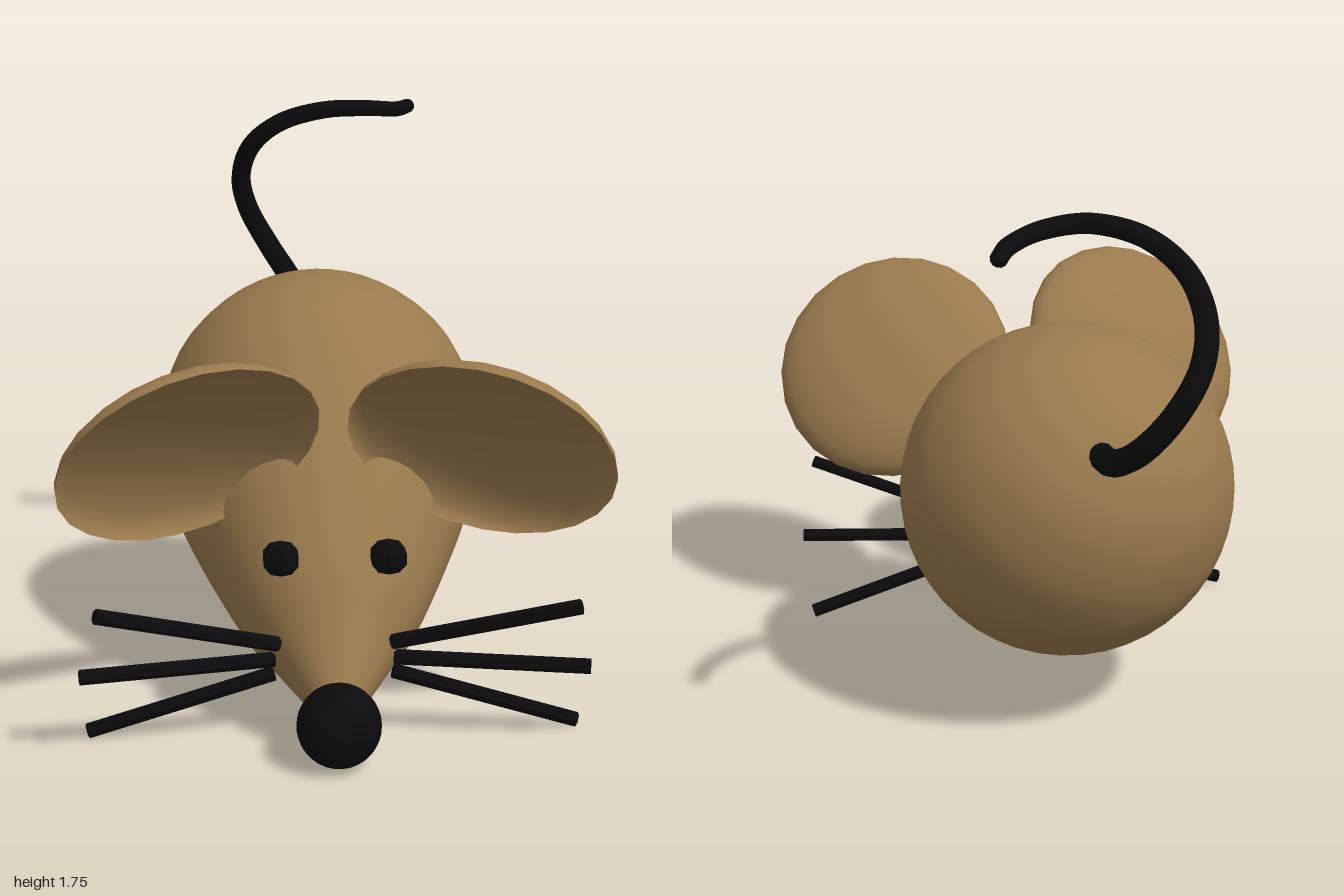
import * as THREE from 'three';

const V = (x, y, z) => new THREE.Vector3(x, y, z);
const UP = V(0, 1, 0);

export function createModel() {
  const group = new THREE.Group();
  const fur = new THREE.MeshStandardMaterial({ color: 0x997a4d });
  const earFur = new THREE.MeshStandardMaterial({ color: 0x997a4d, side: THREE.DoubleSide });
  const black = new THREE.MeshStandardMaterial({ color: 0x0b0b0d });
  const blackFlat = new THREE.MeshStandardMaterial({ color: 0x0b0b0d, flatShading: true });

  const add = (name, geometry, material, position) => {
    const mesh = new THREE.Mesh(geometry, material);
    mesh.name = name;
    mesh.position.copy(position);
    group.add(mesh);
    return mesh;
  };

  // Egg-shaped body: a lathe tilted up toward the back, narrow end at the nose
  const profile = new THREE.SplineCurve([
    [0, 0], [0.05, 0.01], [0.085, 0.065], [0.19, 0.24], [0.285, 0.4], [0.425, 0.73],
    [0.495, 0.95], [0.528, 1.17], [0.505, 1.34], [0.46, 1.45], [0.375, 1.57],
    [0.25, 1.668], [0.12, 1.72], [0, 1.735],
  ].map(([r, t]) => new THREE.Vector2(r, t))).getPoints(60);
  profile.forEach((p) => { p.x = Math.max(p.x, 0); });
  add('body', new THREE.LatheGeometry(profile, 48), fur, V(0, 0.14, 0.85)).rotation.x = -Math.PI / 3;

  add('nose', new THREE.SphereGeometry(0.125, 32, 24), black, V(0, 0.135, 0.875));

  // Tapered, curling tail
  const path = new THREE.CatmullRomCurve3([
    V(0, 1.0, -0.62), V(-0.01, 1.02, -0.75), V(-0.06, 1.1, -0.88), V(-0.14, 1.22, -0.94),
    V(-0.21, 1.35, -0.94), V(-0.235, 1.47, -0.89), V(-0.2, 1.59, -0.82), V(-0.1, 1.68, -0.755),
    V(0.05, 1.725, -0.73), V(0.2, 1.725, -0.77), V(0.31, 1.71, -0.86), V(0.37, 1.705, -0.995),
  ]);
  const rings = 100, sides = 12;
  const tail = new THREE.TubeGeometry(path, rings, 1, sides);
  const pos = tail.attributes.position;
  for (let i = 0; i <= rings; i++) {
    const c = path.getPointAt(i / rings);
    // The end rings close to a point
    const r = i === 0 || i === rings ? 0 : 0.042 - 0.017 * (i / rings);
    for (let j = 0; j <= sides; j++) {
      const k = i * (sides + 1) + j;
      const p = V().fromBufferAttribute(pos, k).sub(c).multiplyScalar(r).add(c);
      pos.setXYZ(k, p.x, p.y, p.z);
    }
  }
  add('tail', tail, black, V(0, 0, 0));

  // Root and tip of the three whiskers on the left cheek
  const whiskers = [
    ['upper', V(0.17, 0.32, 0.69), V(0.7, 0.495, 0.89)],
    ['middle', V(0.18, 0.26, 0.66), V(0.757, 0.26, 0.77)],
    ['lower', V(0.18, 0.2, 0.622), V(0.745, 0.027, 0.625)],
  ];

  for (const side of [1, -1]) {
    const label = side > 0 ? 'left' : 'right';

    // Shallow bowl opening forward, down and inward
    const ear = add(label + 'Ear',
      new THREE.SphereGeometry(1, 24, 10, 0, Math.PI * 2, 0, Math.PI / 2),
      earFur, V(0.425 * side, 0.9, 0.69));
    ear.scale.set(0.405, 0.135, 0.405);
    ear.quaternion.setFromUnitVectors(UP, V(0.31 * side, 0.61, -0.72).normalize());

    // Faceted eye
    const eye = add(label + 'Eye', new THREE.SphereGeometry(0.062, 6, 5), blackFlat,
      V(0.16 * side, 0.58, 0.665));
    eye.rotation.y = Math.PI / 2;
    eye.scale.y = 0.87;

    for (const [name, root, tip] of whiskers) {
      const a = root.clone().setX(root.x * side);
      const b = tip.clone().setX(tip.x * side);
      const dir = b.clone().sub(a);
      const whisker = add(label + ' ' + name + ' whisker',
        new THREE.CylinderGeometry(0.023, 0.023, dir.length(), 6), blackFlat,
        a.add(b).multiplyScalar(0.5));
      whisker.quaternion.setFromUnitVectors(UP, dir.normalize());
    }
  }
  return group;
}
